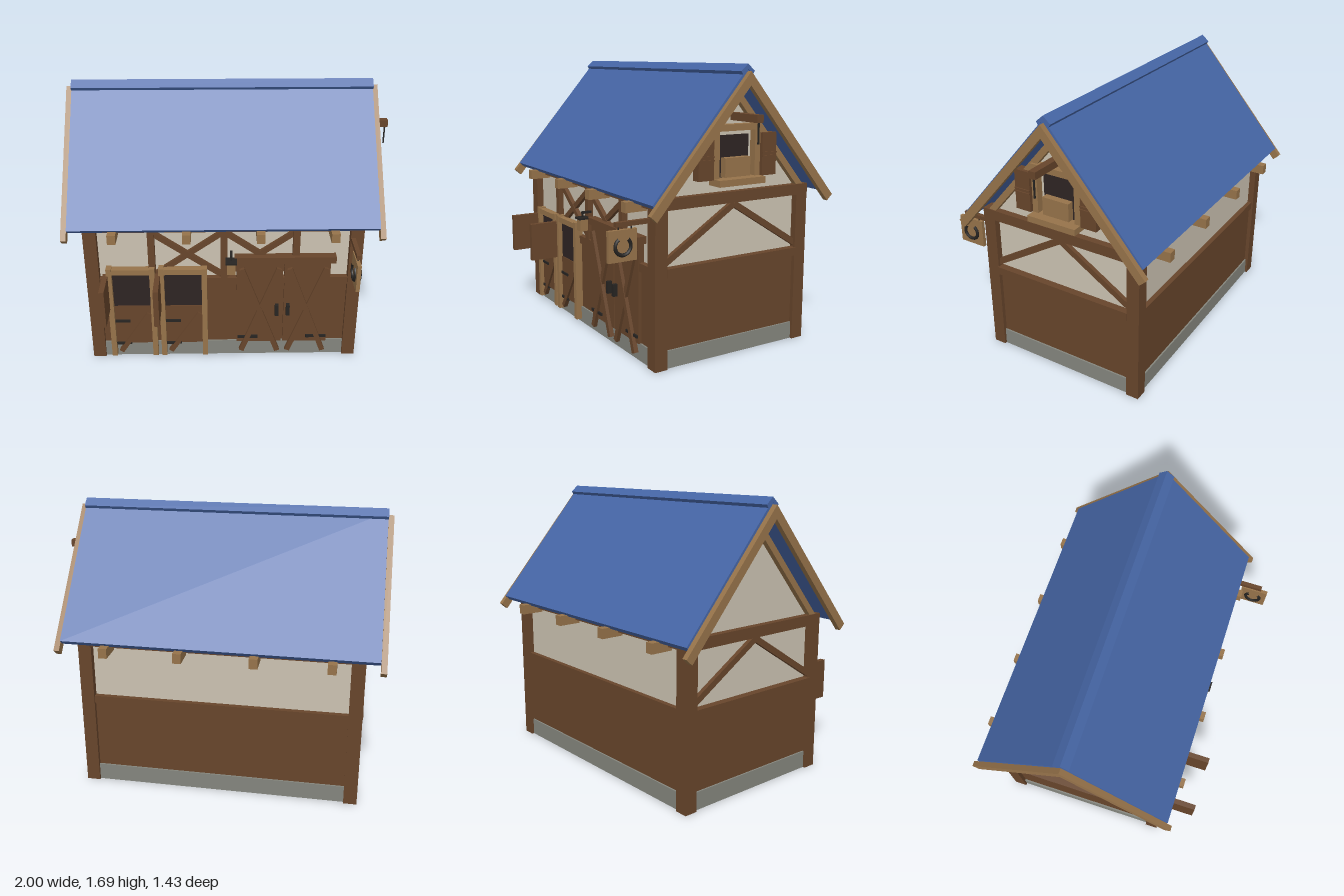
import * as THREE from 'three';

const paint = (name, color) => Object.assign(new THREE.MeshStandardMaterial({ color }), { name });
const CZ = -0.08; // depth position of the ridge

export function createModel() {
  const root = new THREE.Group();
  root.name = 'stable';
  const blue = paint('roof blue', 0x4666a6);
  const plaster = paint('plaster', 0xcbc2b1);
  const dark = paint('dark wood', 0x67452b);
  const light = paint('light wood', 0x96734a);
  const stone = paint('stone', 0x84857d);
  const iron = paint('iron', 0x262422);
  const shade = paint('dark opening', 0x2e2423);

  const add = (name, geo, mat) => {
    const m = new THREE.Mesh(geo, mat);
    m.name = name;
    root.add(m);
    return m;
  };
  // box given by its limits
  const box = (name, mat, x0, x1, y0, y1, z0, z1) => {
    const m = add(name, new THREE.BoxGeometry(x1 - x0, y1 - y0, z1 - z0), mat);
    m.position.set((x0 + x1) / 2, (y0 + y1) / 2, (z0 + z1) / 2);
    return m;
  };
  // slanting timber in the plane of the front wall
  const strutFront = (name, mat, xa, ya, xb, yb, w, z0, z1) => {
    const len = Math.hypot(xb - xa, yb - ya);
    const m = add(name, new THREE.BoxGeometry(len, w, z1 - z0), mat);
    m.position.set((xa + xb) / 2, (ya + yb) / 2, (z0 + z1) / 2);
    m.rotation.z = Math.atan2(yb - ya, xb - xa);
  };
  // slanting timber in the plane of a gable
  const strutSide = (name, mat, za, ya, zb, yb, w, x0, x1) => {
    const len = Math.hypot(zb - za, yb - ya);
    const m = add(name, new THREE.BoxGeometry(x1 - x0, w, len), mat);
    m.position.set((x0 + x1) / 2, (ya + yb) / 2, (za + zb) / 2);
    m.rotation.x = -Math.atan2(yb - ya, zb - za);
  };
  // symmetric profile of [distance from ridge, height] points, extruded along x
  const profile = (name, mat, pts, x0, x1) => {
    const shape = new THREE.Shape(pts.map(([d, y]) => new THREE.Vector2(d, y)));
    const geo = new THREE.ExtrudeGeometry(shape, { depth: x1 - x0, bevelEnabled: false });
    geo.rotateY(Math.PI / 2);
    geo.translate(x0, 0, CZ);
    return add(name, geo, mat);
  };
  // inverted V: outer apex and foot, inner apex and foot
  const chevron = (name, mat, top, foot, innerTop, innerFoot, x0, x1) =>
    profile(name, mat, [
      [0, top], [-foot[0], foot[1]], [-innerFoot[0], innerFoot[1]],
      [0, innerTop], [innerFoot[0], innerFoot[1]], [foot[0], foot[1]],
    ], x0, x1);

  // walls
  box('plinth', stone, -0.875, 0.785, 0, 0.105, -0.6, 0.445);
  box('woodPanelling', dark, -0.865, 0.775, 0.1, 0.56, -0.59, 0.435);
  profile('plasterWalls', plaster,
    [[-0.495, 0.55], [0.495, 0.55], [0.495, 0.963], [0, 1.54], [-0.495, 0.963]], -0.85, 0.76);
  for (const x of [-0.89, 0.72])
    for (const z of [-0.615, 0.38]) box('cornerPost', dark, x, x + 0.08, 0, 0.97, z, z + 0.08);
  for (const [z0, z1] of [[-0.605, -0.56], [0.4, 0.45]]) {
    box('longRail', dark, -0.88, 0.79, 0.535, 0.585, z0, z1);
    box('wallPlate', dark, -0.88, 0.79, 0.91, 0.965, z0, z1);
  }

  // gable timbers, mirrored left and right
  for (const s of [-1, 1]) {
    const X = (a, b) => [a, b].map(v => -0.045 + s * v).sort((p, q) => p - q);
    box('gableRail', dark, ...X(0.78, 0.85), 0.535, 0.585, -0.54, 0.385);
    box('tieBeam', dark, ...X(0.77, 0.846), 0.91, 0.975, -0.616, 0.461);
    for (const e of [-1, 1])
      strutSide('gableBrace', dark, CZ + e * 0.475, 0.605, CZ, 0.9, 0.037, ...X(0.79, 0.83));
    chevron('gableRafters', light, 1.56, [0.502, 0.975], 1.5, [0.451, 0.975], ...X(0.79, 0.84));
    chevron('bargeBoards', light, 1.65, [0.635, 0.915], 1.573, [0.597, 0.88], ...X(0.924, 0.957));
  }

  // roof
  chevron('roofSlopes', blue, 1.672, [0.606, 0.966], 1.611, [0.576, 0.938], -0.968, 0.88);
  chevron('ridgeCap', blue, 1.69, [0.046, 1.65], 1.66, [0.034, 1.632], -0.97, 0.882);
  for (const x of [-0.705, -0.265, 0.175, 0.615])
    box('ceilingJoist', light, x - 0.025, x + 0.025, 0.887, 0.947, -0.715, 0.553);

  // cross bracing on the upper front wall
  for (const x of [-0.485, -0.043, 0.397])
    box('frontStud', dark, x - 0.021, x + 0.021, 0.58, 0.92, 0.4, 0.45);
  for (const [a, b] of [[-0.475, -0.055], [-0.033, 0.387]]) {
    strutFront('crossBrace', dark, a, 0.6, b, 0.895, 0.034, 0.4, 0.438);
    strutFront('crossBrace', dark, a, 0.895, b, 0.6, 0.034, 0.4, 0.441);
  }

  // two stall doors with the upper leaf swung open
  for (const x of [-0.766, -0.446]) {
    box('stallFramePost', light, x, x + 0.033, 0.02, 0.67, 0.43, 0.482);
    box('stallFramePost', light, x + 0.264, x + 0.297, 0.02, 0.67, 0.43, 0.482);
    box('stallFrameHead', light, x, x + 0.297, 0.627, 0.663, 0.43, 0.478);
    box('stallOpening', shade, x + 0.033, x + 0.264, 0.385, 0.63, 0.445, 0.453);
    box('stallLowerDoor', dark, x + 0.033, x + 0.264, 0.105, 0.388, 0.43, 0.458);
    strutFront('stallDoorBrace', dark, x + 0.06, 0.045, x + 0.25, 0.335, 0.03, 0.445, 0.472);
    for (const y of [0.105, 0.277])
      box('stallHinge', iron, x + 0.033, x + 0.128, y - 0.008, y + 0.008, 0.45, 0.466);
    box('stallUpperDoor', dark, x - 0.022, x + 0.01, 0.378, 0.625, 0.455, 0.665);
  }

  // double door
  for (const [a, b, hinge, handle] of [[0.035, 0.32, 0.04, 0.275], [0.33, 0.612, 0.478, 0.345]]) {
    box('barnDoor', dark, a, b, 0.105, 0.7, 0.42, 0.456);
    strutFront('barnDoorBrace', dark, a + 0.03, 0.045, b - 0.025, 0.66, 0.032, 0.45, 0.474);
    strutFront('barnDoorBrace', dark, b - 0.025, 0.045, a + 0.03, 0.66, 0.032, 0.45, 0.478);
    box('barnDoorHinge', iron, hinge, hinge + 0.13, 0.138, 0.155, 0.45, 0.466);
    box('barnDoorHandle', iron, handle, handle + 0.022, 0.322, 0.397, 0.45, 0.485);
  }
  box('doorLintel', dark, 0.02, 0.642, 0.7, 0.742, 0.42, 0.475);

  // wall lantern
  box('lanternArm', iron, -0.008, 0.008, 0.762, 0.776, 0.44, 0.505);
  box('lanternHanger', iron, -0.005, 0.005, 0.74, 0.765, 0.494, 0.504);
  box('lanternCap', iron, -0.034, 0.034, 0.73, 0.741, 0.465, 0.537);
  box('lanternBody', light, -0.026, 0.026, 0.656, 0.73, 0.475, 0.527);

  // hanging sign with a horseshoe on each face
  box('signBracket', dark, 0.722, 0.748, 0.842, 0.868, 0.45, 0.67);
  for (const z of [0.57, 0.65]) box('signHook', iron, 0.731, 0.737, 0.815, 0.845, z - 0.003, z + 0.003);
  box('signBoard', light, 0.722, 0.745, 0.65, 0.825, 0.54, 0.715);
  for (const x of [0.72, 0.747]) {
    const geo = new THREE.TorusGeometry(0.048, 0.011, 6, 18, Math.PI * 1.6);
    geo.rotateZ(Math.PI * 0.7).rotateY(Math.PI / 2);
    add('horseshoe', geo, iron).position.set(x, 0.735, 0.628);
  }

  // hayloft window on the left gable
  box('loftOpening', shade, 0.757, 0.768, 1.055, 1.295, CZ - 0.104, CZ + 0.104);
  box('loftHay', light, 0.757, 0.81, 1.06, 1.17, CZ - 0.088, CZ + 0.088);
  box('loftSill', light, 0.75, 0.86, 1.018, 1.056, CZ - 0.161, CZ + 0.161);
  box('loftHead', light, 0.75, 0.81, 1.32, 1.357, CZ - 0.161, CZ + 0.161);
  for (const s of [-1, 1]) {
    const Z = (a, b) => [CZ + s * a, CZ + s * b].sort((p, q) => p - q);
    box('loftJamb', light, 0.75, 0.805, 1.05, 1.325, ...Z(0.124, 0.161));
    box('loftShutter', dark, 0.755, 0.815, 1.053, 1.3, ...Z(0.17, 0.272));
    for (const y of [1.165, 1.185])
      box('loftShutterBatten', dark, 0.81, 0.822, y - 0.004, y + 0.004, ...Z(0.17, 0.272));
  }

  // hoist above the window
  box('hoistBeam', dark, 0.74, 0.997, 1.377, 1.42, CZ - 0.022, CZ + 0.022);
  box('hoistRope', iron, 0.979, 0.987, 1.26, 1.38, CZ - 0.004, CZ + 0.004);

  return root;
}
